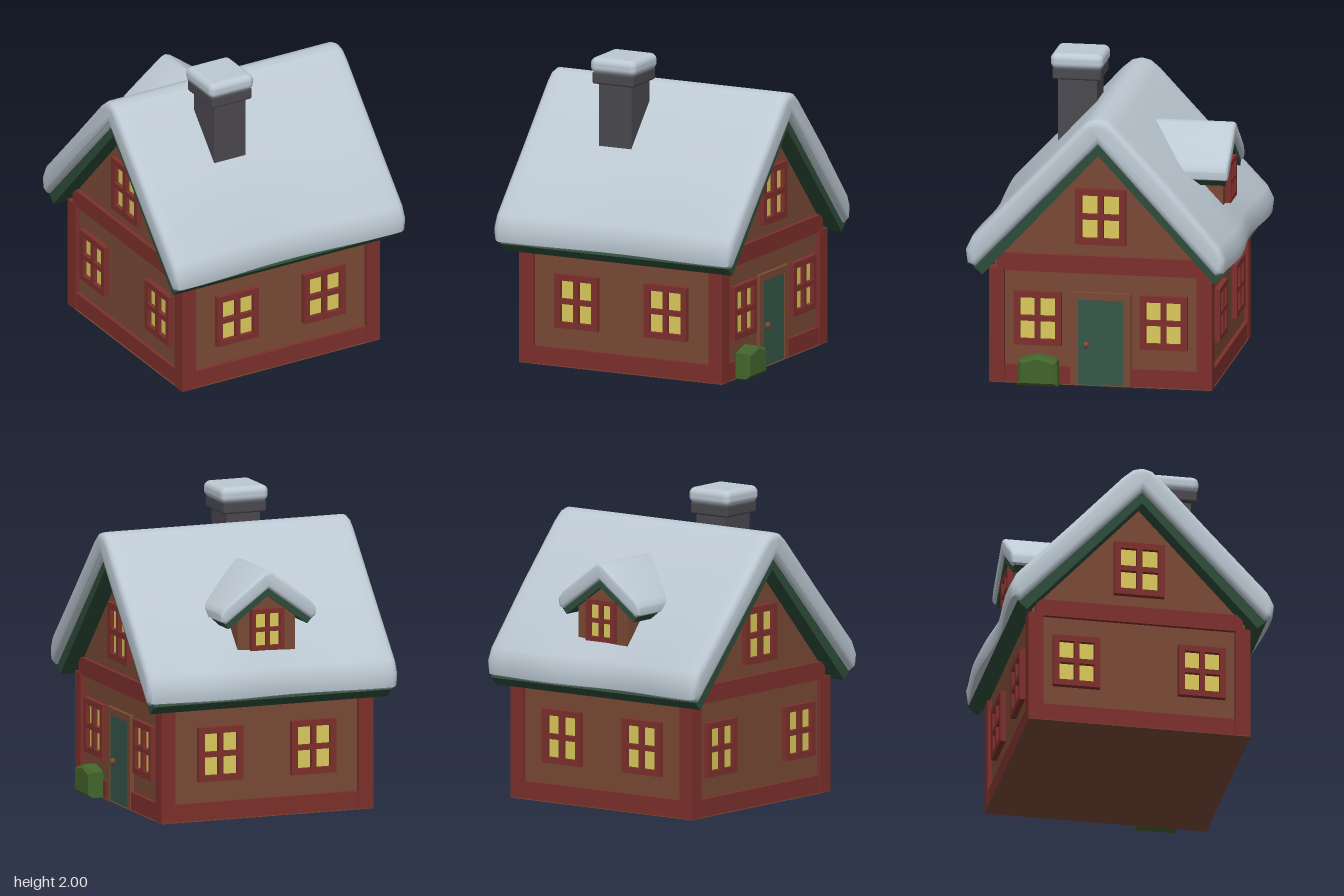
import * as THREE from 'three';
import { toCreasedNormals } from 'three/addons/utils/BufferGeometryUtils.js';
import { RoundedBoxGeometry } from 'three/addons/geometries/RoundedBoxGeometry.js';

const mat = (name, color) => Object.assign(new THREE.MeshStandardMaterial({ color }), { name });

// Closed symmetric outline from its right half, listed top to bottom
function mirroredShape(half) {
  const left = half.filter(p => p[0] > 0).reverse().map(([x, y]) => [-x, y]);
  return new THREE.Shape([...half, ...left].map(p => new THREE.Vector2(...p)).reverse());
}

// Symmetric outline extruded between z0 and z1, optionally with rounded ends
function prism(half, z0, z1, bevel = 0, steps = 1, bevelSegments = 3) {
  const g = new THREE.ExtrudeGeometry(mirroredShape(half), {
    depth: z1 - z0 - 2 * bevel, steps, bevelEnabled: bevel > 0,
    bevelSize: bevel, bevelThickness: bevel, bevelOffset: -bevel, bevelSegments,
  });
  return g.translate(0, 0, z0 + bevel);
}

export function createModel() {
  const house = new THREE.Group();
  house.name = 'snowyCottage';

  const snow = mat('snow', 0xbdc9d3);
  const brown = mat('brownWall', 0x7a4a35);
  const red = mat('redTimber', 0x7d302c);
  const trim = mat('greenTrim', 0x2d4d3a);
  const doorGreen = mat('doorGreen', 0x35584a);
  const glow = mat('windowGlow', 0xdccb5c);
  const leaf = mat('bushGreen', 0x43642b);
  const stone = mat('chimneyGrey', 0x4b494f);

  const add = (name, geometry, material, parent = house) => {
    const mesh = new THREE.Mesh(geometry, material);
    mesh.name = name;
    parent.add(mesh);
    return mesh;
  };
  // Box given by its min and max corners
  const box = (name, material, x0, x1, y0, y1, z0, z1, parent = house) => {
    const m = add(name, new THREE.BoxGeometry(x1 - x0, y1 - y0, z1 - z0), material, parent);
    m.position.set((x0 + x1) / 2, (y0 + y1) / 2, (z0 + z1) / 2);
    return m;
  };

  // Walls with gables at both x ends
  box('floor', brown, -0.74, 0.74, 0, 0.004, -0.73, 0.73);
  const wallHalf = [[0, 1.58], [0.7, 0.82], [0.7, 0.004]];
  add('walls', prism(wallHalf, -0.71, 0.71).rotateY(Math.PI / 2), brown);

  // Corner posts, sills and gable beams
  for (const sx of [-1, 1]) {
    for (const sz of [-1, 1]) {
      box('cornerPost', red, sx * 0.69 - 0.05, sx * 0.69 + 0.05, 0.004, 0.76, sz * 0.68 - 0.05, sz * 0.68 + 0.05);
    }
    box('longSill', red, -0.65, 0.65, 0.004, 0.12, sx * 0.71 - 0.015, sx * 0.71 + 0.015);
    box('gableBeam', red, sx * 0.715 - 0.02, sx * 0.715 + 0.02, 0.745, 0.86, -0.68, 0.68);
    box('gableSill', red, 0.7, 0.733, 0.004, 0.12, sx * 0.415 - 0.22, sx * 0.415 + 0.22);
  }
  box('gableSill', red, -0.733, -0.7, 0.004, 0.12, -0.64, 0.64);

  // Green boards under the roof
  const boardHalf = [[0, 1.65], [0.82, 0.79], [0.758, 0.735], [0, 1.555]];
  add('roofBoards', prism(boardHalf, -0.83, 0.83).rotateY(Math.PI / 2), trim);

  // Thick snow on the roof, with wavy eaves
  const snowHalf = [[0, 1.8], [0.06, 1.785], [0.12, 1.735], [0.45, 1.38], [0.81, 0.985],
    [0.85, 0.9], [0.838, 0.81], [0.785, 0.79], [0, 1.63]];
  const snowGeo = prism(snowHalf, -0.865, 0.865, 0.04, 24).rotateY(Math.PI / 2);
  const p = snowGeo.attributes.position;
  for (let i = 0; i < p.count; i++) {
    const x = p.getX(i), y = p.getY(i), z = p.getZ(i);
    const weight = THREE.MathUtils.clamp((1.35 - y) / 0.4, 0, 1) * 0.018;
    const wave = z > 0 ? -Math.cos(x * 4.2) : Math.cos((x + 0.2) * 5.7);
    p.setZ(i, z + wave * weight);
  }
  add('roofSnow', toCreasedNormals(snowGeo, 0.9), snow);

  // Window facing +z: frame with four openings and glowing panes
  function makeWindow(w, h) {
    const g = new THREE.Group();
    g.name = 'window';
    const rect = (Type, x0, x1, y0, y1) => new Type([[x0, y0], [x1, y0], [x1, y1], [x0, y1]]
      .map(q => new THREE.Vector2(...q)));
    const frame = rect(THREE.Shape, -w / 2, w / 2, -h / 2, h / 2);
    const edge = 0.13 * w, bar = 0.055 * w;
    for (const sx of [-1, 1]) for (const sy of [-1, 1]) {
      const xs = [sx * bar, sx * (w / 2 - edge)].sort((a, b) => a - b);
      const ys = [sy * bar, sy * (h / 2 - edge)].sort((a, b) => a - b);
      frame.holes.push(rect(THREE.Path, ...xs, ...ys));
    }
    add('windowFrame', new THREE.ExtrudeGeometry(frame, { depth: 0.045, bevelEnabled: false }), red, g);
    box('windowPanes', glow, -w / 2 + 0.01, w / 2 - 0.01, -h / 2 + 0.01, h / 2 - 0.01, 0.008, 0.017, g);
    return g;
  }
  // Place a window on a wall turned by angle, at an offset along that wall
  const placeWindow = (angle, along, y, out, w, h) => {
    const win = makeWindow(w, h);
    win.position.set(along, y, out).applyAxisAngle(new THREE.Vector3(0, 1, 0), angle);
    win.rotation.y = angle;
    house.add(win);
  };
  for (const side of [0, 1, 2, 3]) {
    const isGable = side % 2 === 1;
    const angle = side * Math.PI / 2, out = isGable ? 0.702 : 0.692;
    for (const s of [-1, 1]) placeWindow(angle, s * (isGable ? 0.412 : 0.325), 0.435, out, 0.31, 0.355);
    if (isGable) placeWindow(angle, 0, 1.125, out, 0.33, 0.37);
  }

  // Door with its surround and knob
  for (const s of [-1, 1]) box('doorJamb', brown, 0.7, 0.738, 0.004, 0.62, s * 0.173 - 0.025, s * 0.173 + 0.025);
  box('doorLintel', brown, 0.7, 0.737, 0.57, 0.618, -0.16, 0.16);
  box('door', doorGreen, 0.7, 0.73, 0.004, 0.572, -0.15, 0.15);
  add('doorKnob', new THREE.SphereGeometry(0.022, 12, 8), brown).position.set(0.738, 0.27, 0.095);

  // Bush beside the door
  const bushHalf = [[0, 0.205], [0.125, 0.17], [0.132, 0.004]];
  const bush = add('bush', prism(bushHalf, 0.71, 0.83, 0.02, 1, 1).rotateY(Math.PI / 2), leaf);
  bush.position.z = 0.4;

  // Dormer on the back slope
  const dormer = new THREE.Group();
  dormer.name = 'dormer';
  house.add(dormer);
  add('dormerWalls', prism([[0, 1.47], [0.2, 1.33], [0.2, 1.02]], -0.71, -0.3), brown, dormer);
  add('dormerBoards', prism([[0, 1.52], [0.31, 1.29], [0.275, 1.25], [0, 1.45]], -0.74, -0.25), trim, dormer);
  const dormerSnow = [[0, 1.61], [0.03, 1.6], [0.15, 1.51], [0.305, 1.39], [0.332, 1.35],
    [0.328, 1.3], [0.295, 1.285], [0, 1.5]];
  add('dormerSnow', toCreasedNormals(prism(dormerSnow, -0.76, -0.2, 0.02), 0.7), snow, dormer);
  placeWindow(Math.PI, 0, 1.23, 0.7, 0.23, 0.27);

  // Chimney with collar and snow cap
  box('chimneyShaft', stone, -0.32, -0.085, 1.3, 1.86, 0.165, 0.42);
  add('chimneyCollar', new RoundedBoxGeometry(0.3, 0.08, 0.32, 2, 0.015), stone).position.set(-0.205, 1.865, 0.295);
  add('chimneySnow', new RoundedBoxGeometry(0.33, 0.105, 0.345, 4, 0.042), snow).position.set(-0.205, 1.9475, 0.295);

  return house;
}
